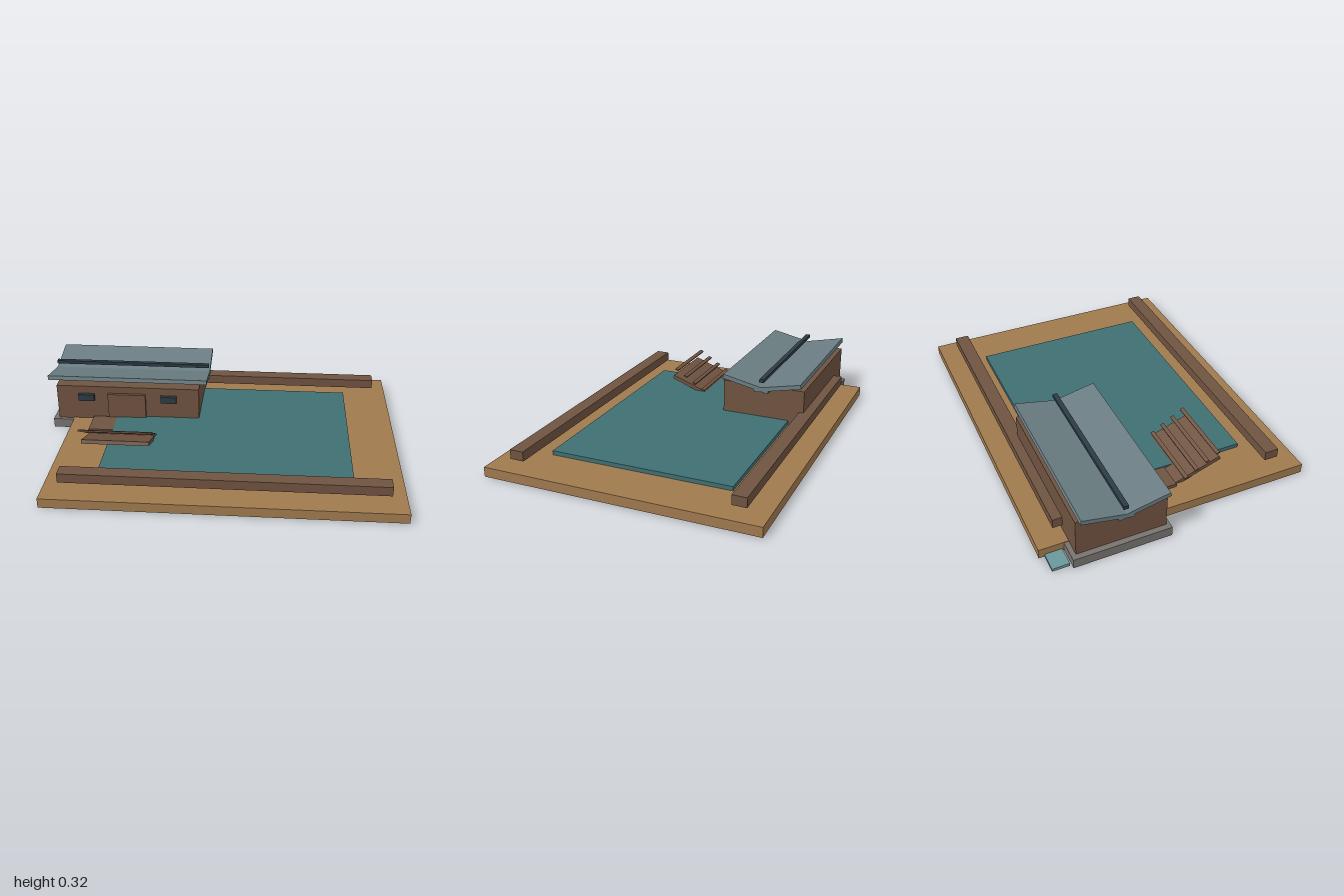
import * as THREE from 'three';

const mat = (name, color) => {
  const m = new THREE.MeshStandardMaterial({ color });
  m.name = name;
  return m;
};

export function createModel() {
  const group = new THREE.Group();
  const sand = mat('sand', 0xa07a4e);
  const timber = mat('timber', 0x6f5340);
  const water = mat('water', 0x3f6f72);
  const roofMetal = mat('roofMetal', 0x6a7d82);
  const dark = mat('darkMetal', 0x2c3b42);
  const stone = mat('stone', 0x77736f);
  const paleWater = mat('paleWater', 0x6a979c);

  // Box given by its limits along each axis
  const block = (name, material, [x0, x1], [y0, y1], [z0, z1]) => {
    const mesh = new THREE.Mesh(new THREE.BoxGeometry(x1 - x0, y1 - y0, z1 - z0), material);
    mesh.position.set((x0 + x1) / 2, (y0 + y1) / 2, (z0 + z1) / 2);
    mesh.name = name;
    group.add(mesh);
    return mesh;
  };

  // Site
  block('ground', sand, [-0.86, 1], [0.004, 0.057], [-0.74, 0.74]);
  block('pool', water, [-0.6, 0.74], [0.05, 0.08], [-0.5, 0.5]);
  block('frontBeam', timber, [-0.78, 0.92], [0.088, 0.14], [0.556, 0.632]);
  block('backBeam', timber, [-0.78, 0.92], [0.088, 0.14], [-0.636, -0.56]);
  block('channel', paleWater, [-0.96, -0.11], [0.001, 0.018], [-0.71, -0.62]);

  // House
  block('foundation', stone, [-0.98, -0.11], [0, 0.054], [-0.61, -0.09]);
  block('walls', timber, [-0.95, -0.12], [0.05, 0.265], [-0.585, -0.11]);
  block('door', timber, [-0.65, -0.43], [0.078, 0.225], [-0.112, -0.092]);
  for (const x of [-0.775, -0.295]) {
    block('window', dark, [x - 0.046, x + 0.046], [0.18, 0.22], [-0.112, -0.088]);
  }

  // Butterfly roof: two slabs crossing at the valley, with a bar above
  for (const side of [1, -1]) {
    const slab = block('roofSlab', roofMetal, [-1, -0.075], [0, 0.024], [0, 0.275]);
    slab.position.y = 0.278;
    slab.position.z = -0.348 + side * 0.093;
    slab.rotation.x = -side * 0.21;
  }
  block('valleyBar', dark, [-0.995, -0.08], [0.298, 0.317], [-0.361, -0.335]);

  // Landing and sloping deck with raised battens
  block('landing', timber, [-0.74, -0.34], [0.05, 0.076], [-0.1, 0.055]);
  const tilt = -0.35;
  const deck = block('deck', timber, [-0.72, -0.35], [0, 0.022], [0, 0.27]);
  deck.position.y = 0.1;
  deck.position.z = 0.189;
  deck.rotation.x = tilt;
  for (let i = 0; i < 4; i++) {
    const batten = block('batten', timber, [-0.738, -0.34], [0, 0.008], [0, 0.021]);
    batten.position.y = 0.091 + i * 0.036;
    batten.position.z = 0.115 + i * 0.058;
    batten.rotation.x = tilt;
  }
  return group;
}
